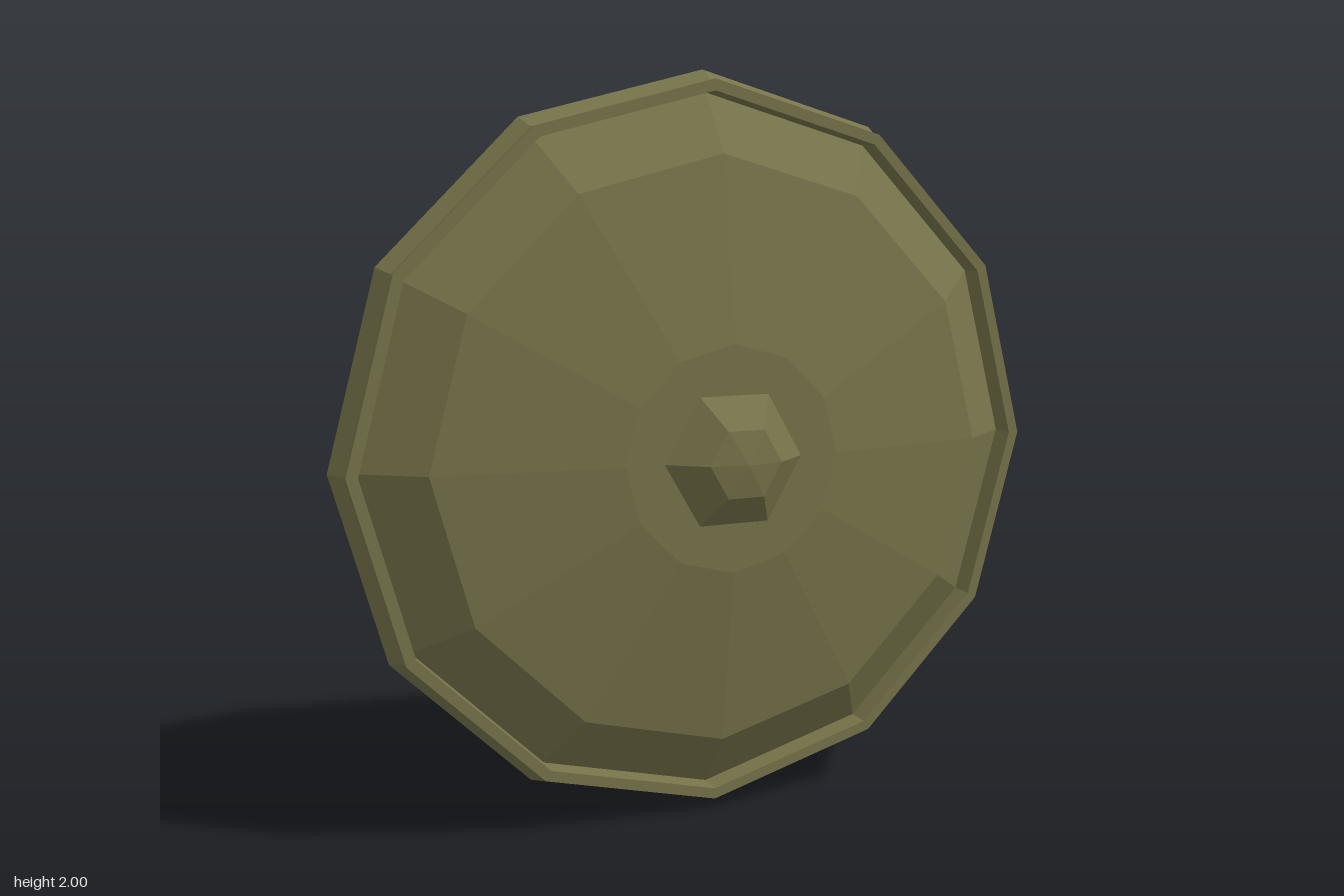
import * as THREE from 'three';

const olive = new THREE.MeshStandardMaterial({ color: 0x77744a, flatShading: true });
olive.name = 'olive';

// Faceted solid of revolution about z; profile is [radius, z], back to front
function turned(name, profile, sides, start = 0) {
  const points = profile.map(([r, z]) => new THREE.Vector2(r, z));
  const geometry = new THREE.LatheGeometry(points, sides, start).rotateX(Math.PI / 2);
  const mesh = new THREE.Mesh(geometry, olive);
  mesh.name = name;
  return mesh;
}

// Eight-sided bar swept with mitred joints along a path of [x, z]
function sweptBar(name, path, radius) {
  const sides = 8, positions = [], index = [];
  const pts = path.map(([x, z]) => new THREE.Vector2(x, z));
  const dir = (i) => pts[i + 1].clone().sub(pts[i]).normalize();
  pts.forEach((p, i) => {
    const a = dir(Math.max(i - 1, 0)), b = dir(Math.min(i, pts.length - 2));
    const t = a.clone().add(b).normalize();
    const mitre = 1 / t.dot(a);
    for (let k = 0; k < sides; k++) {
      const angle = ((k + 0.5) / sides) * Math.PI * 2;
      const side = Math.cos(angle) * radius * mitre;
      positions.push(p.x + t.y * side, Math.sin(angle) * radius, p.y - t.x * side);
    }
  });
  for (let i = 0; i < pts.length - 1; i++) {
    for (let k = 0; k < sides; k++) {
      const a = i * sides + k, b = i * sides + (k + 1) % sides;
      index.push(a, b, a + sides, b, b + sides, a + sides);
    }
  }
  const geometry = new THREE.BufferGeometry();
  geometry.setAttribute('position', new THREE.Float32BufferAttribute(positions, 3));
  geometry.setIndex(index);
  geometry.computeVertexNormals();
  const mesh = new THREE.Mesh(geometry, olive);
  mesh.name = name;
  return mesh;
}

export function createModel() {
  const shield = new THREE.Group();
  shield.name = 'roundShield';

  // Domed face with a flat, recessed back
  shield.add(turned('domedFace', [
    [0, -0.03], [0.92, -0.03], [0.94, 0.01], [0.78, 0.125], [0.3, 0.195], [0, 0.195],
  ], 12));

  // Raised rim
  shield.add(turned('rim', [
    [0.9, -0.07], [0.97, -0.07], [1, -0.012], [0.97, 0.045], [0.97, 0.075],
    [0.94, 0.075], [0.94, 0], [0.9, -0.02], [0.9, -0.07],
  ], 12));

  // Six-sided central boss
  shield.add(turned('boss', [[0.2, 0.19], [0.1, 0.27], [0, 0.285]], 6, Math.PI / 6));

  // Grip on the back, mirrored about the middle
  const half = [[0.253, -0.02], [0.253, -0.16], [0.236, -0.21], [0.195, -0.238]];
  const other = half.map(([x, z]) => [-x, z]).reverse();
  const grip = sweptBar('grip', [...half, ...other], 0.056);
  grip.position.y = -0.012;
  shield.add(grip);

  shield.children.forEach((part) => { part.position.y += 1; });
  return shield;
}
